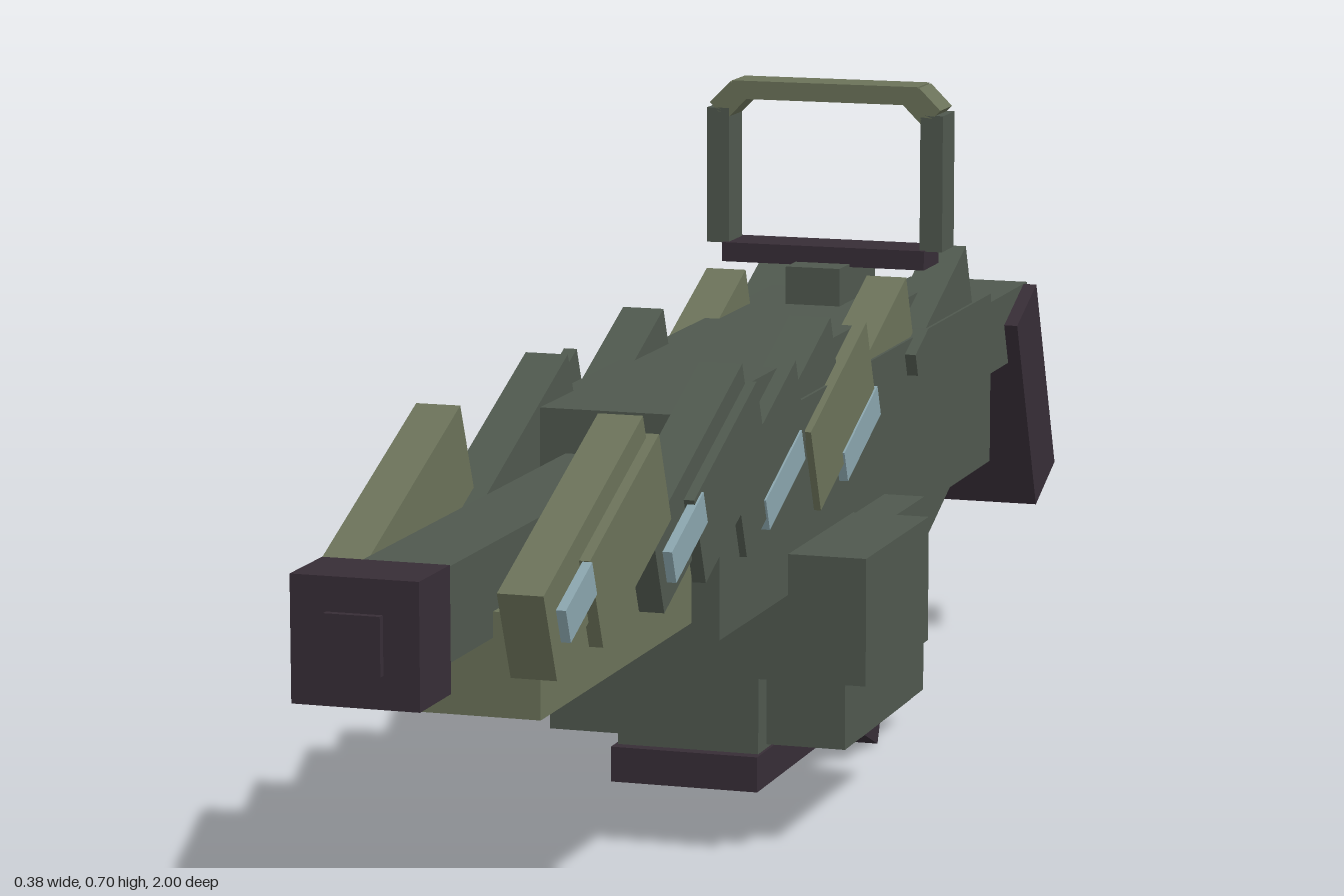
import * as THREE from 'three';

const TILT = Math.PI / 8;

export function createModel() {
  const model = new THREE.Group();
  model.name = 'blockyRifle';

  const mat = (name, color) => {
    const m = new THREE.MeshStandardMaterial({ color });
    m.name = name;
    return m;
  };
  const green = mat('dull green', 0x4f584e);
  const olive = mat('olive', 0x6b7259);
  const dark = mat('dark plum', 0x372d36);
  const glass = mat('pale blue', 0x8aa5ad);

  // Box from its extents on each axis
  function span(name, m, [x0, x1], [y0, y1], [z0, z1]) {
    const mesh = new THREE.Mesh(new THREE.BoxGeometry(x1 - x0, y1 - y0, z1 - z0), m);
    mesh.position.set((x0 + x1) / 2, (y0 + y1) / 2, (z0 + z1) / 2);
    mesh.name = name;
    model.add(mesh);
    return mesh;
  }
  // Box centred on x = 0
  const mid = (name, m, w, y, z) => span(name, m, [-w, w], y, z);
  // Box from size and centre, tilted about x
  function tilted(name, m, [w, h, d], [x, y, z], angle) {
    const mesh = span(name, m, [-w / 2, w / 2], [-h / 2, h / 2], [-d / 2, d / 2]);
    mesh.position.set(x, y, z);
    mesh.rotation.x = angle;
    return mesh;
  }

  // Receiver, handguard and barrel
  mid('receiver', green, 0.11, [0.262, 0.445], [-0.61, 0.35]);
  mid('receiverTop', green, 0.08, [0.44, 0.472], [-0.45, 0.35]);
  mid('rearStep', green, 0.08, [0.44, 0.45], [-0.55, -0.45]);
  mid('handguard', olive, 0.083, [0.277, 0.37], [0.34, 0.77]);
  mid('barrel', green, 0.04, [0.347, 0.43], [0.3, 0.93]);
  mid('muzzle', dark, 0.057, [0.331, 0.441], [0.92, 0.993]);
  mid('muzzleTip', dark, 0.025, [0.36, 0.411], [0.98, 1.0]);

  // Stock, strut and butt
  mid('stockTube', green, 0.068, [0.33, 0.41], [-0.922, -0.6]);
  tilted('buttPad', dark, [0.166, 0.237, 0.09], [0, 0.283, -0.911], TILT);
  tilted('stockStrut', green, [0.08, 0.042, 0.434], [0, 0.217, -0.66], TILT);

  // Grip and its foot plate
  tilted('grip', dark, [0.114, 0.32, 0.19], [0, 0.184, -0.336], -TILT);
  mid('gripFoot', green, 0.063, [0.025, 0.07], [-0.47, -0.28]);

  // Magazine and side housings
  mid('magazine', green, 0.072, [0.095, 0.27], [-0.09, 0.107]);
  mid('magazineBase', dark, 0.075, [0.061, 0.096], [-0.1, 0.12]);
  mid('lowerHousing', green, 0.152, [0.1, 0.3], [-0.2, 0.08]);
  mid('wideHousing', green, 0.188, [0.177, 0.302], [-0.088, 0.133]);

  // Stacked vent slats on one side
  for (let i = 0; i < 6; i++) {
    const y = 0.164 + i * 0.0272;
    const inset = i % 2 ? 0.004 : 0;
    span('ventSlat', olive, [-0.172 + inset, -0.08], [y, y + 0.0272], [-0.282 + inset, -0.19]);
  }

  // Overlapping armour plates, mirrored on both sides
  const plates = [
    { z: 0.679, m: olive, panel: 0.625, glassZ: 0.765, glassL: 0.075 },
    { z: 0.387, m: green, panel: 0.335, glassZ: 0.465, glassL: 0.1 },
    { z: 0.1, m: green, panel: 0.21, glassZ: 0.17, glassL: 0.125 },
    { z: -0.17, m: olive, panel: -0.03, glassZ: -0.09, glassL: 0.125 },
    { z: -0.4, m: green },
  ];
  for (const s of [-1, 1]) {
    for (const p of plates) {
      tilted('armourPlate', p.m, [0.042, 0.087, 0.288], [s * 0.086, 0.414, p.z], TILT);
      if (p.panel === undefined) continue;
      tilted('armourPanel', p.m, [0.013, 0.09, 0.205], [s * 0.1105, 0.41, p.panel], TILT);
      tilted('lightStrip', glass, [0.009, 0.033, p.glassL], [s * 0.1145, 0.382, p.glassZ], TILT);
    }
    tilted('rearLug', green, [0.015, 0.025, 0.05], [s * 0.114, 0.43, -0.3], TILT);
  }

  // Sight: riser, base and open frame
  mid('sightRiser', green, 0.029, [0.465, 0.511], [-0.44, -0.31]);
  mid('sightBase', dark, 0.109, [0.508, 0.528], [-0.402, -0.345]);
  mid('sightTopBar', olive, 0.1, [0.678, 0.697], [-0.395, -0.35]);
  for (const s of [-1, 1]) {
    const post = span('sightPost', green, [-0.012, 0.012], [0.527, 0.668], [-0.395, -0.35]);
    post.position.x = s * 0.115;
    const corner = span('sightCorner', olive, [-0.016, 0.016], [-0.0125, 0.0125], [-0.395, -0.35]);
    corner.position.x = s * 0.104;
    corner.position.y = 0.676;
    corner.rotation.z = -s * Math.PI / 4;
  }
  return model;
}
